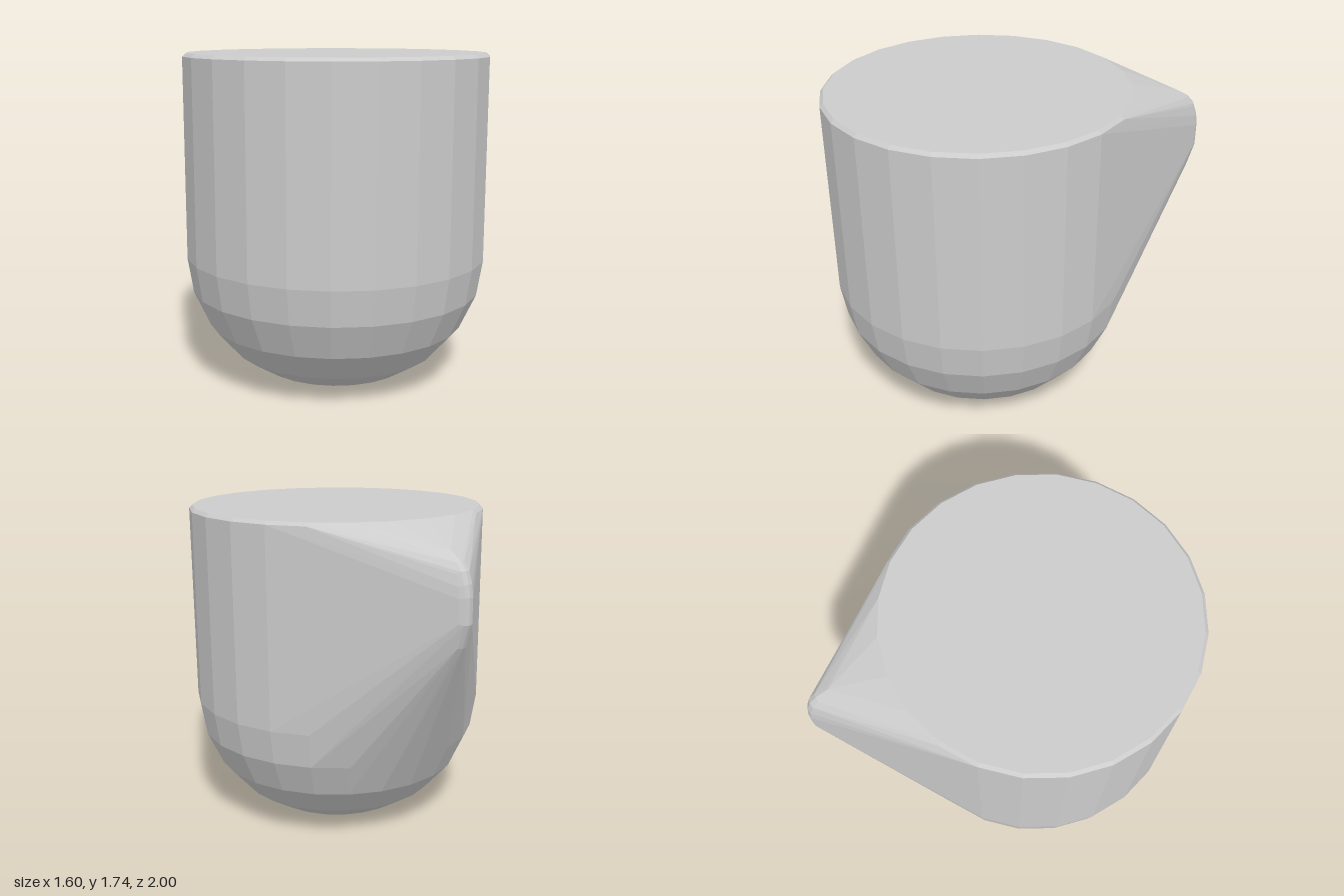
import * as THREE from 'three';
import { ConvexGeometry } from 'three/addons/geometries/ConvexGeometry.js';

// Solid cup shape: a convex skin stretched over a round body and a handle tip.
export function createModel() {
  const group = new THREE.Group();
  const points = [];

  // Body rings: [radius, height], from the flat foot to the bevelled rim
  const profile = [
    [0.26, 0], [0.4, 0.05], [0.55, 0.145], [0.685, 0.3], [0.77, 0.485],
    [0.8, 0.67], [0.8, 1.72], [0.782, 1.737],
  ];
  const sides = 24, bodyZ = 0.2;
  for (const [r, y] of profile) {
    for (let i = 0; i < sides; i++) {
      const a = (i / sides) * Math.PI * 2;
      points.push(new THREE.Vector3(r * Math.cos(a), y, bodyZ + r * Math.sin(a)));
    }
  }

  // Handle: rounded cross-sections along its outer edge, [z, y]
  const edge = [
    [-0.86, 1.63], [-0.93, 1.59], [-0.968, 1.55], [-0.99, 1.49],
    [-1, 1.43], [-1, 1.3], [-0.96, 1.18],
  ];
  const handleX = 0.093, tube = 0.05;
  const centre = new THREE.Vector3(handleX, 1.37, -0.7);
  for (const [z, y] of edge) {
    const outer = new THREE.Vector3(handleX, y, z);
    const inward = centre.clone().sub(outer).normalize();
    for (let k = -3; k <= 3; k++) {
      const a = (k / 3) * Math.PI / 2;
      const p = outer.clone().addScaledVector(inward, tube * (1 - Math.cos(a)));
      p.x += tube * Math.sin(a);
      points.push(p);
    }
  }

  const cup = new THREE.Mesh(
    new ConvexGeometry(points),
    new THREE.MeshStandardMaterial({ color: 0xcccccc, flatShading: true })
  );
  cup.name = 'cupHull';
  group.add(cup);
  return group;
}
